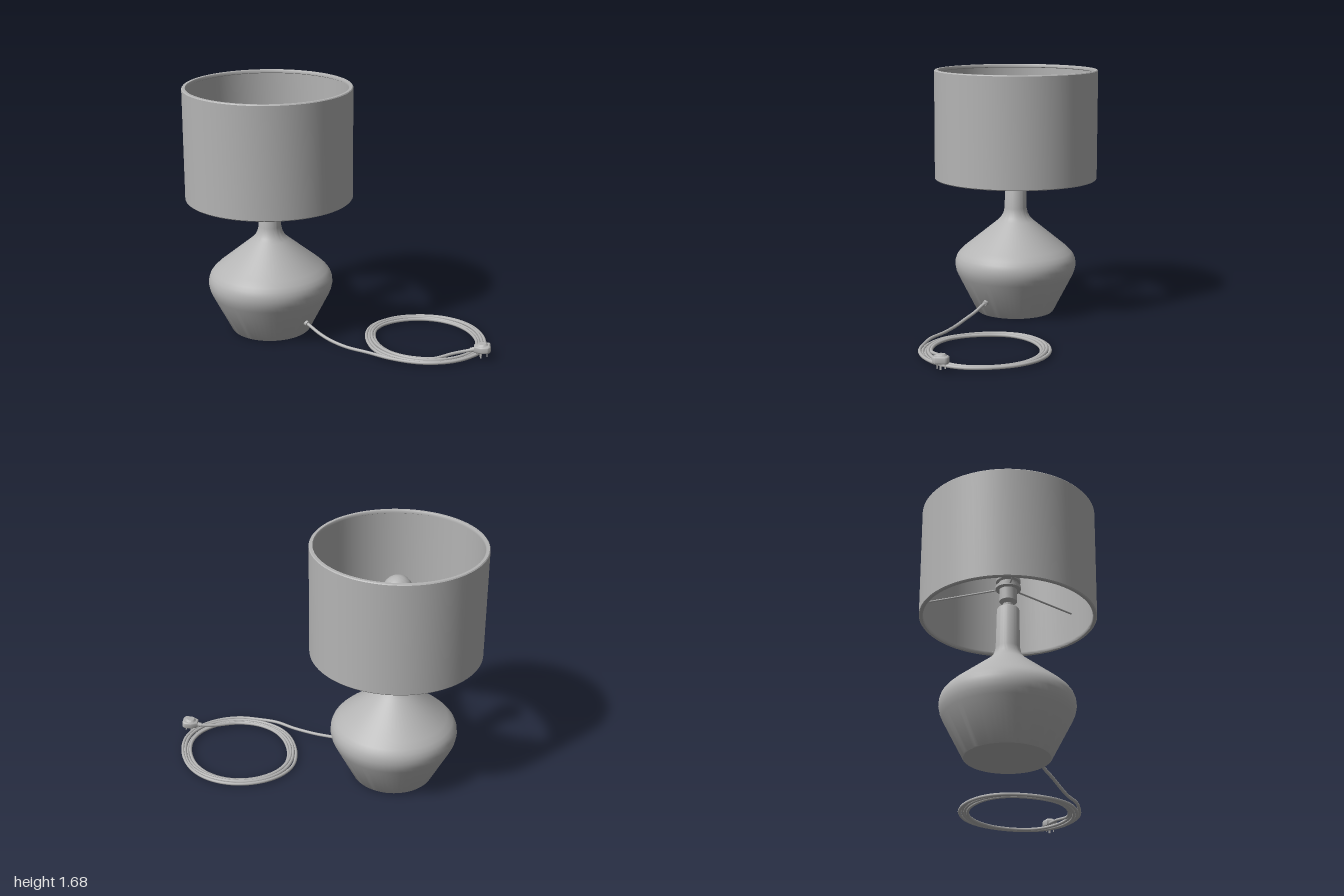
import * as THREE from 'three';
import { toCreasedNormals } from 'three/addons/utils/BufferGeometryUtils.js';

const grey = new THREE.MeshStandardMaterial({ color: 0xb4b4b4 });
grey.name = 'plain grey';

const v3 = (x, y, z) => new THREE.Vector3(x, y, z);

function part(parent, name, geometry, x = 0, y = 0, z = 0) {
  const mesh = new THREE.Mesh(geometry, grey);
  mesh.name = name;
  mesh.position.set(x, y, z);
  parent.add(mesh);
  return mesh;
}

// Surface of revolution; profile runs bottom to top on the outside
function turned(profile, segments = 64) {
  const points = profile.map(([r, y]) => new THREE.Vector2(r, y));
  return toCreasedNormals(new THREE.LatheGeometry(points, segments), 0.6);
}

// Straight round bar between two points
function bar(a, b, radius) {
  return new THREE.TubeGeometry(new THREE.LineCurve3(a, b), 1, radius, 8);
}

function createLamp() {
  const lamp = new THREE.Group();
  lamp.name = 'lamp';

  // Body with a wide rounded belly and a slim neck
  part(lamp, 'base', turned([
    [0, 0], [0.262, 0], [0.268, 0.006], [0.395, 0.255], [0.41, 0.29], [0.418, 0.33],
    [0.415, 0.365], [0.404, 0.395], [0.385, 0.42], [0.35, 0.453], [0.125, 0.635],
    [0.1, 0.66], [0.084, 0.69], [0.076, 0.725], [0.07, 0.99], [0.064, 1.0], [0, 1.0],
  ]));

  // Bulb holder with its shade collar
  part(lamp, 'socket', turned([
    [0.035, 0.99], [0.035, 1.03], [0.056, 1.05], [0.056, 1.13], [0.08, 1.135],
    [0.08, 1.155], [0.06, 1.16], [0.06, 1.18], [0.078, 1.185], [0.078, 1.2],
    [0.05, 1.205], [0.05, 1.24], [0, 1.24],
  ], 40));

  // Round bulb
  part(lamp, 'bulb', turned([
    [0.045, 1.22], [0.05, 1.25], [0.07, 1.29], [0.09, 1.322], [0.098, 1.36],
    [0.094, 1.39], [0.082, 1.416], [0.064, 1.437], [0.04, 1.452], [0.018, 1.459], [0, 1.46],
  ], 40));

  // Open drum shade with turned rims
  part(lamp, 'shade', turned([
    [0.532, 0.93], [0.55, 0.93], [0.555, 0.936], [0.555, 1.669], [0.55, 1.675],
    [0.532, 1.675], [0.528, 1.669], [0.528, 1.655], [0.538, 1.65],
    [0.538, 0.955], [0.528, 0.95], [0.528, 0.936], [0.532, 0.93],
  ], 96));

  // Three wires carrying the shade
  for (let i = 0; i < 3; i++) {
    const a = THREE.MathUtils.degToRad(18 + i * 120);
    const dir = v3(Math.cos(a), 0, Math.sin(a));
    const inner = dir.clone().multiplyScalar(0.07).setY(1.145);
    const outer = dir.clone().multiplyScalar(0.54).setY(1.145);
    part(lamp, 'shadeSpoke', bar(inner, outer, 0.006));
  }

  // Cable outlet on the side of the base
  const grommet = part(lamp, 'cableOutlet', new THREE.CylinderGeometry(0.017, 0.02, 0.03, 20), 0.327, 0.113, 0);
  grommet.rotation.z = -Math.PI / 2 - 0.25;

  lamp.position.set(-0.445, 0, 0.17);
  return lamp;
}

function createCable() {
  // Lead from the base to the coil
  const points = [
    v3(-0.15, 0.119, 0.17), v3(-0.1, 0.107, 0.17), v3(0, 0.07, 0.17), v3(0.1, 0.046, 0.166),
    v3(0.22, 0.028, 0.147), v3(0.38, 0.024, 0.112), v3(0.53, 0.024, 0.092),
  ];
  // Four loops winding slowly inwards
  const first = -66, last = 1396, steps = 84;
  for (let i = 0; i <= steps; i++) {
    const t = i / steps;
    const a = THREE.MathUtils.degToRad(first + (last - first) * t);
    const cut = 1 - 0.035 * Math.max(0, Math.sin(2 * a)) ** 2;
    const wave = 0.005 * Math.sin(2.3 * a);
    points.push(v3(
      0.495 + (0.424 - 0.072 * t + wave) * cut * Math.cos(a),
      0.016 + 0.006 * Math.cos(a * 0.75),
      -0.328 - (0.398 - 0.074 * t - wave) * cut * Math.sin(a),
    ));
  }
  // Free end rising to the plug
  points.push(v3(0.81, 0.036, -0.215), v3(0.86, 0.046, -0.285), v3(0.91, 0.06, -0.33));
  return new THREE.TubeGeometry(new THREE.CatmullRomCurve3(points), 700, 0.011, 8);
}

function createPlug() {
  const plug = new THREE.Group();
  plug.name = 'plug';

  // Body outline, narrower at the cable end
  const s = new THREE.Shape();
  s.moveTo(-0.042, -0.018);
  s.lineTo(-0.005, -0.04);
  s.lineTo(0.03, -0.04);
  s.quadraticCurveTo(0.045, -0.038, 0.045, -0.02);
  s.lineTo(0.045, 0.02);
  s.quadraticCurveTo(0.045, 0.038, 0.03, 0.04);
  s.lineTo(-0.005, 0.04);
  s.lineTo(-0.042, 0.018);
  s.closePath();
  const body = new THREE.ExtrudeGeometry(s, {
    depth: 0.026, bevelEnabled: true, bevelThickness: 0.01, bevelSize: 0.01, bevelSegments: 3,
  });
  body.rotateX(-Math.PI / 2);
  part(plug, 'plugBody', toCreasedNormals(body, 0.7), 0, -0.018, 0);
  part(plug, 'plugCap', toCreasedNormals(new THREE.CylinderGeometry(0.026, 0.04, 0.014, 24), 0.7), 0.002, 0.022, 0);

  // Three flat pins below
  for (const [x, z, w, d] of [[0.028, 0, 0.008, 0.012], [-0.012, 0.024, 0.012, 0.008], [-0.012, -0.024, 0.012, 0.008]]) {
    part(plug, 'plugPin', new THREE.BoxGeometry(w, 0.04, d), x, -0.044, z);
  }

  // Sleeve where the cable enters
  part(plug, 'cableSleeve', bar(v3(-0.075, -0.012, 0), v3(-0.03, -0.008, 0), 0.016));

  plug.position.set(0.945, 0.073, -0.353);
  plug.rotation.set(0, 0.6, 0.1);
  return plug;
}

export function createModel() {
  const model = new THREE.Group();
  model.name = 'tableLamp';
  model.add(createLamp());
  part(model, 'cable', createCable());
  model.add(createPlug());
  return model;
}
